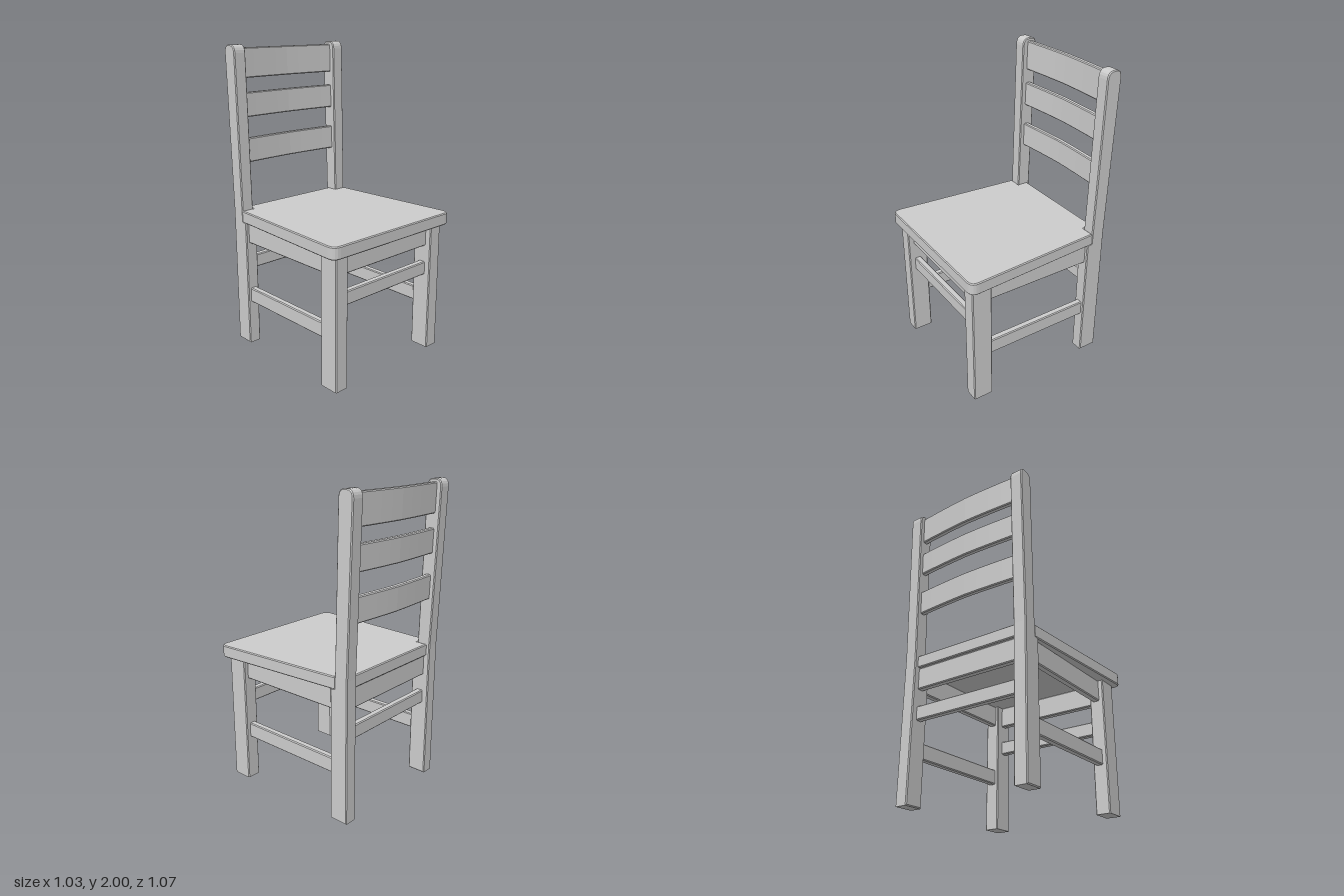
import * as THREE from 'three';

const material = new THREE.MeshStandardMaterial({ color: 0xcccccc, flatShading: true });
const BEVEL = 0.006;

// Extrude an outline to a given thickness, centred on z, with a small bevel inside the outline
function board(shape, thickness) {
  const g = new THREE.ExtrudeGeometry(shape, {
    depth: thickness - 2 * BEVEL, bevelEnabled: true, bevelThickness: BEVEL,
    bevelSize: BEVEL, bevelOffset: -BEVEL, bevelSegments: 1, curveSegments: 5,
  });
  return g.translate(0, 0, BEVEL - thickness / 2);
}

// Straight bar along z with chamfered long edges
function bar(w, h, length) {
  const x = w / 2, y = h / 2, c = BEVEL;
  const pts = [[-x + c, -y], [x - c, -y], [x, -y + c], [x, y - c], [x - c, y], [-x + c, y], [-x, y - c], [-x, -y + c]];
  const g = new THREE.ExtrudeGeometry(outline(pts), { depth: length, bevelEnabled: false });
  return g.translate(0, 0, -length / 2);
}

function outline(pts) {
  return new THREE.Shape(pts.map(([x, y]) => new THREE.Vector2(x, y)));
}

export function createModel() {
  const chair = new THREE.Group();
  chair.name = 'chair';
  const add = (name, geometry, x, y, z) => {
    const mesh = new THREE.Mesh(geometry, material);
    mesh.name = name;
    mesh.position.set(x, y, z);
    chair.add(mesh);
    return mesh;
  };

  // Seat: tapered board, rounded front corners, notched around the back posts
  const seat = new THREE.Shape();
  seat.moveTo(-0.372, 0.48);
  seat.lineTo(-0.372, 0.408);
  seat.lineTo(-0.46, 0.408);
  seat.lineTo(-0.516, -0.475);
  seat.quadraticCurveTo(-0.519, -0.53, -0.465, -0.53);
  seat.lineTo(0.465, -0.53);
  seat.quadraticCurveTo(0.519, -0.53, 0.516, -0.475);
  seat.lineTo(0.46, 0.408);
  seat.lineTo(0.372, 0.408);
  seat.lineTo(0.372, 0.48);
  add('seat', board(seat, 0.08).rotateX(-Math.PI / 2), 0, 0.9, 0);

  // Back post side profile: upright leg, shoulder under the seat, leaning rounded top
  const post = new THREE.Shape();
  post.moveTo(-0.502, 0);
  post.lineTo(-0.375, 0);
  post.lineTo(-0.375, 0.862);
  post.lineTo(-0.407, 0.868);
  post.lineTo(-0.409, 0.94);
  post.lineTo(-0.431, 1.95);
  post.quadraticCurveTo(-0.433, 2, -0.475, 2);
  post.lineTo(-0.493, 2);
  post.quadraticCurveTo(-0.535, 2, -0.535, 1.95);
  post.lineTo(-0.502, 0.93);

  for (const [side, s] of [['left', 1], ['right', -1]]) {
    add(side + 'BackPost', board(post, 0.086).rotateY(-Math.PI / 2), s * 0.417, 0, 0);
    add(side + 'FrontLeg', bar(0.096, 0.135, 0.862).rotateX(-Math.PI / 2), s * 0.42, 0.431, 0.4275);
    add(side + 'Apron', bar(0.045, 0.14, 0.75), s * 0.415, 0.792, -0.008);
    add(side + 'Stretcher', bar(0.045, 0.1, 0.75), s * 0.415, 0.35, -0.008);
  }

  // Cross rails between the legs
  for (const [end, z] of [['front', 0.432], ['back', -0.44]]) {
    add(end + 'Apron', bar(0.045, 0.14, 0.76).rotateY(Math.PI / 2), 0, 0.792, z);
    add(end + 'Stretcher', bar(0.045, 0.09, 0.76).rotateY(Math.PI / 2), 0, 0.565, z);
  }

  // Back slats: bowed backwards at the centre and leaning with the posts
  const bow = [];
  for (let i = 0; i <= 8; i++) {
    const u = i / 4 - 1;
    bow.push([u * 0.38, 0.019 * (1 - Math.pow(Math.abs(u), 1.4))]);
  }
  const slat = outline([
    ...bow.map(([x, y]) => [x, y - 0.018]),
    ...bow.reverse().map(([x, y]) => [x, y + 0.018]),
  ]);
  [[1.325, 0.16], [1.62, 0.158], [1.885, 0.19]].forEach(([y, height], i) => {
    const z = -0.455 - 0.029 * (y - 0.94);
    const mesh = add('backSlat' + (i + 1), board(slat, height).rotateX(-Math.PI / 2), 0, y, z);
    mesh.rotation.x = -0.028;
  });

  return chair;
}
